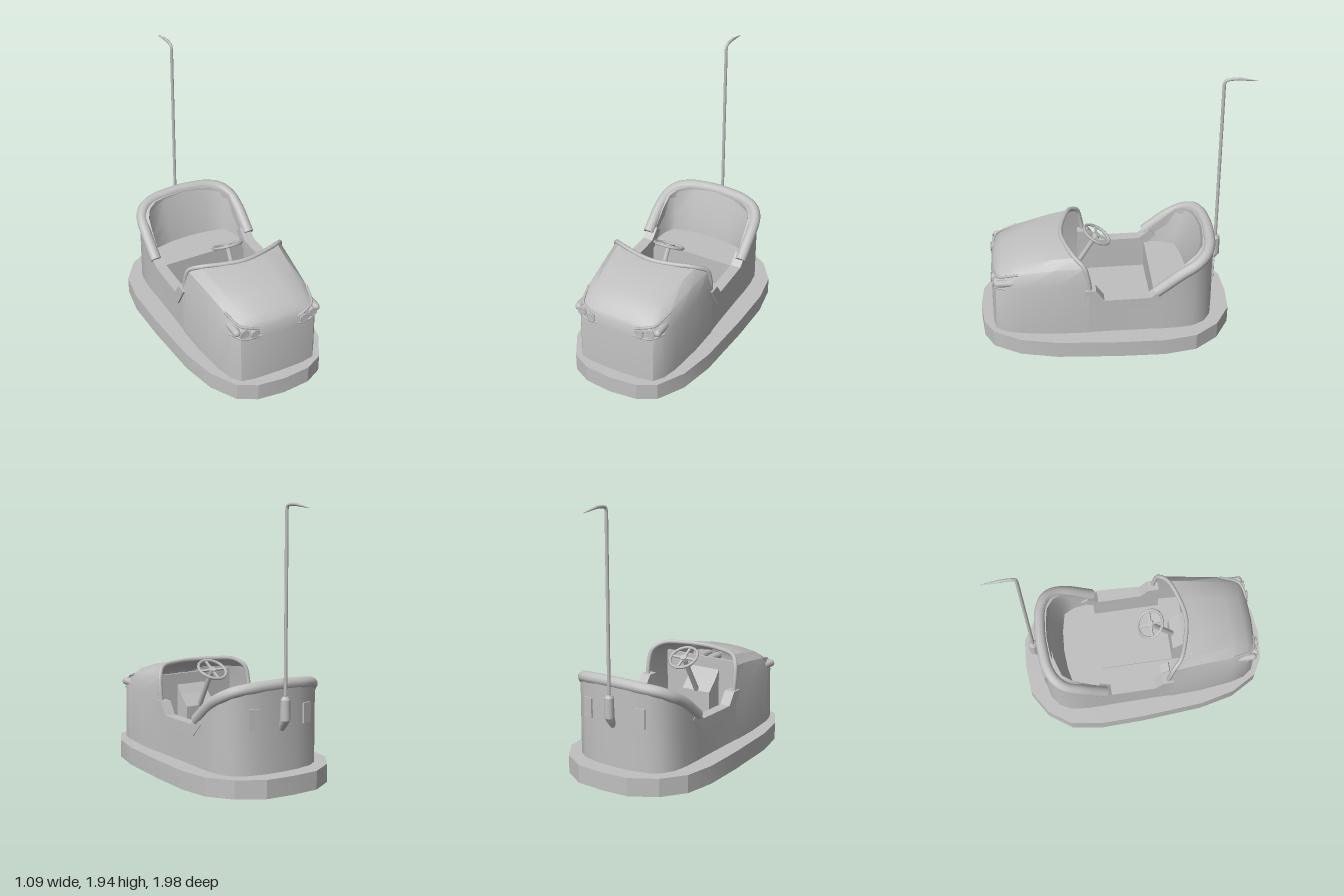
import * as THREE from 'three';
import { toCreasedNormals } from 'three/addons/utils/BufferGeometryUtils.js';

const V = (p) => new THREE.Vector3(...p);
const flip = ([x, y, z]) => [-x, y, z];
// Half path that ends on the centre line, completed by its mirror image
const mirrored = (half) => [...half, ...half.slice(0, -1).reverse().map(flip)];

// Surface through rows of points, each row having the same count
function loft(rows, crease = 0.6) {
  const n = rows[0].length, index = [];
  for (let i = 0; i < rows.length - 1; i++) {
    for (let j = 0; j < n - 1; j++) {
      const a = i * n + j, b = a + n;
      index.push(a, b, a + 1, a + 1, b, b + 1);
    }
  }
  const g = new THREE.BufferGeometry();
  g.setAttribute('position', new THREE.Float32BufferAttribute(rows.flat(2), 3));
  g.setIndex(index);
  return toCreasedNormals(g, crease);
}

// Plan outline given as [x, z], raised from y0 to y1
function slab(points, y0, y1) {
  const shape = new THREE.Shape(points.map(([x, z]) => new THREE.Vector2(x, -z)));
  const g = new THREE.ExtrudeGeometry(shape, { depth: y1 - y0, bevelEnabled: false });
  g.rotateX(-Math.PI / 2).translate(0, y0, 0);
  return toCreasedNormals(g, 0.3);
}

// Side profile given as [z, y], extruded from x0 to x1
function sideSlab(points, x0, x1) {
  const shape = new THREE.Shape(points.map(([z, y]) => new THREE.Vector2(-z, y)));
  const g = new THREE.ExtrudeGeometry(shape, { depth: x1 - x0, bevelEnabled: false });
  return g.rotateY(Math.PI / 2).translate(x0, 0, 0);
}

const tube = (points, r, segments = 40, sides = 10) => new THREE.TubeGeometry(
  new THREE.CatmullRomCurve3(points.map(V), false, 'centripetal'), segments, r, sides);

export function createModel() {
  const root = new THREE.Group();
  const grey = new THREE.MeshStandardMaterial({ color: 0xc0c0c0, side: THREE.DoubleSide });
  grey.name = 'grey';
  const add = (name, geometry, position = [0, 0, 0], parent = root) => {
    const mesh = new THREE.Mesh(geometry, grey);
    mesh.name = name;
    mesh.position.set(...position);
    parent.add(mesh);
    return mesh;
  };

  // Bumper skirt
  const skirt = [[0, 0.99], [0.2, 0.97], [0.33, 0.9], [0.44, 0.71], [0.5, 0.45], [0.535, 0],
    [0.545, -0.33], [0.51, -0.56], [0.39, -0.73], [0.21, -0.84], [0, -0.855]];
  add('bumperSkirt', slab([...skirt, ...skirt.slice(1, -1).reverse().map(([x, z]) => [-x, z])], 0, 0.13));

  // Front body and hood: half sections from the side up to the centre line
  const hood = [
    [[0.405, 0.13, 0.22], [0.4, 0.53, 0.2], [0.375, 0.68, 0.24], [0.31, 0.735, 0.3], [0.15, 0.745, 0.36], [0, 0.745, 0.385]],
    [[0.395, 0.13, 0.45], [0.385, 0.535, 0.45], [0.35, 0.66, 0.45], [0.29, 0.715, 0.46], [0.15, 0.735, 0.47], [0, 0.735, 0.47]],
    [[0.365, 0.13, 0.7], [0.36, 0.525, 0.7], [0.325, 0.625, 0.69], [0.26, 0.665, 0.7], [0.13, 0.685, 0.7], [0, 0.69, 0.7]],
    [[0.335, 0.13, 0.81], [0.33, 0.51, 0.81], [0.295, 0.585, 0.81], [0.24, 0.61, 0.815], [0.12, 0.625, 0.82], [0, 0.63, 0.82]],
    [[0.285, 0.13, 0.88], [0.285, 0.5, 0.868], [0.265, 0.555, 0.862], [0.22, 0.575, 0.862], [0.11, 0.585, 0.866], [0, 0.585, 0.87]],
    [[0.19, 0.13, 0.9], [0.18, 0.49, 0.89], [0.17, 0.53, 0.885], [0.14, 0.55, 0.88], [0.08, 0.56, 0.88], [0, 0.565, 0.88]],
    [[0, 0.13, 0.905], [0, 0.48, 0.9], [0, 0.52, 0.893], [0, 0.54, 0.888], [0, 0.555, 0.884], [0, 0.565, 0.88]],
  ];
  add('frontBody', loft(hood.map(mirrored), 0.5));
  add('hoodHoop', tube(mirrored([[0.385, 0.5, 0.2], [0.385, 0.6, 0.215], [0.37, 0.69, 0.24],
    [0.31, 0.737, 0.3], [0.15, 0.748, 0.36], [0, 0.748, 0.385]]), 0.016, 48, 8));

  // Rear body wall: outer x, z, top height and inner x, z
  const wall = [[0.4, 0.24, 0.51, 0.34, 0.24], [0.4, 0.16, 0.51, 0.34, 0.16], [0.4, 0.1, 0.41, 0.34, 0.1],
    [0.405, -0.23, 0.41, 0.35, -0.23], [0.41, -0.31, 0.48, 0.35, -0.31], [0.408, -0.44, 0.6, 0.345, -0.43],
    [0.395, -0.55, 0.67, 0.335, -0.51], [0.35, -0.635, 0.7, 0.3, -0.57], [0.27, -0.69, 0.72, 0.23, -0.62],
    [0.14, -0.72, 0.725, 0.13, -0.64], [0, -0.728, 0.73, 0, -0.65]];
  const wallRows = wall.map(([x, z, h, ix, iz]) => [[x, 0.13, z], [x, h, z], [ix, h, iz], [ix, 0.13, iz]]);
  add('rearBody', loft([...wallRows, ...wallRows.slice(0, -1).reverse().map((r) => r.map(flip))], 0.5));

  // Padded roll around the rear rim, with flat ends
  const roll = [[0.392, 0.455, -0.275], [0.392, 0.515, -0.35], [0.39, 0.592, -0.45], [0.372, 0.655, -0.56],
    [0.32, 0.693, -0.63], [0.22, 0.712, -0.675], [0.1, 0.72, -0.69], [0, 0.722, -0.695]];
  add('rearRoll', tube(mirrored(roll), 0.041, 60, 12));
  for (const s of [1, -1]) {
    const end = add('rollEnd', new THREE.CircleGeometry(0.041, 12), [s * 0.392, 0.455, -0.275]);
    end.lookAt(s * 0.392, 0.395, -0.2);
  }

  // Seat and curved backrest
  const seatRim = [[0.35, 0.38, -0.27], [0.33, 0.38, -0.42], [0.29, 0.38, -0.5], [0.15, 0.38, -0.53], [0, 0.38, -0.54]];
  const backRim = [[0.36, 0.46, -0.29], [0.355, 0.61, -0.46], [0.31, 0.68, -0.57], [0.16, 0.72, -0.62], [0, 0.735, -0.635]];
  const backMid = seatRim.map(([x, y, z], i) => [x * 0.65 + backRim[i][0] * 0.35,
    y * 0.6 + backRim[i][1] * 0.4, z * 0.75 + backRim[i][2] * 0.25]);
  add('backrest', loft([seatRim, backMid, backRim].map(mirrored), 0.9));
  add('seat', slab(mirrored(seatRim).map(([x, , z]) => [x, z]), 0.13, 0.38));

  // Floor, tunnel, firewall and console
  add('floor', new THREE.BoxGeometry(0.68, 0.03, 0.7), [0, 0.145, 0.08]);
  add('floorTunnel', new THREE.BoxGeometry(0.24, 0.015, 0.56), [0, 0.165, 0.01]);
  add('firewall', new THREE.BoxGeometry(0.7, 0.52, 0.02), [0, 0.39, 0.42]);
  add('console', sideSlab([[0.28, 0.15], [0.42, 0.15], [0.42, 0.58], [0.36, 0.5], [0.28, 0.42]], -0.12, 0.12));

  // Steering wheel and column
  const steering = new THREE.Group();
  steering.name = 'steering';
  steering.position.set(0, 0.71, 0.12);
  steering.rotation.x = -0.54;
  root.add(steering);
  add('wheelRim', new THREE.TorusGeometry(0.106, 0.011, 6, 16).rotateX(Math.PI / 2), [0, 0, 0], steering);
  add('wheelHub', new THREE.CylinderGeometry(0.026, 0.03, 0.025, 10), [0, -0.005, 0], steering);
  add('wheelSpoke', new THREE.BoxGeometry(0.205, 0.01, 0.018), [0, -0.004, 0], steering);
  add('wheelSpoke', new THREE.BoxGeometry(0.018, 0.01, 0.205), [0, -0.004, 0], steering);
  add('steeringColumn', new THREE.CylinderGeometry(0.017, 0.02, 0.33, 8), [0, -0.17, 0], steering);

  // Antenna socket, pole and tapered contact tip
  add('poleSocket', new THREE.CylinderGeometry(0.033, 0.036, 0.14, 12), [0, 0.56, -0.758]);
  add('socketCap', new THREE.CylinderGeometry(0.02, 0.033, 0.02, 12), [0, 0.64, -0.758]);
  const ring = (y, z, r, tilt) => Array.from({ length: 13 }, (_, i) => {
    const a = i * Math.PI / 6;
    return [r * Math.cos(a), y - r * Math.sin(a) * tilt, z + r * Math.sin(a)];
  });
  add('socketFoot', loft([ring(0.5, -0.758, 0.036, 0), ring(0.45, -0.74, 0.032, 0.5), ring(0.4, -0.715, 0.014, 0.8)]));
  add('pole', new THREE.CylinderGeometry(0.012, 0.012, 1.25, 8), [0, 1.265, -0.758]);
  add('poleBend', tube([[0, 1.885, -0.758], [0, 1.912, -0.766], [0, 1.922, -0.79], [0, 1.926, -0.86]], 0.011, 12, 8));
  const tip = add('poleTip', new THREE.CylinderGeometry(0.002, 0.012, 0.135, 8), [0, 1.915, -0.923]);
  tip.quaternion.setFromUnitVectors(V([0, 1, 0]), V([0, -0.16, -1]).normalize());

  // Mirrored details
  for (const s of [1, -1]) {
    const sx = (points) => points.map(([x, y, z]) => [s * x, y, z]);
    // Sill trim around the entry cut-out
    const sill = [[0.24, 0.51], [0.14, 0.34], [-0.26, 0.34], [-0.36, 0.44], [-0.31, 0.49], [-0.23, 0.42], [0.1, 0.42], [0.16, 0.51]];
    add('sillTrim', sideSlab(sill, s > 0 ? 0.335 : -0.414, s > 0 ? 0.414 : -0.335));
    // Pedals
    add('pedal', new THREE.BoxGeometry(0.07, 0.015, 0.07), [s * 0.21, 0.24, 0.21]).rotation.x = -0.5;
    add('pedalArm', new THREE.BoxGeometry(0.02, 0.09, 0.02), [s * 0.21, 0.195, 0.225]);
    // Headlights with brow and lower lip
    for (const [x, y, z] of [[0.19, 0.525, 0.83], [0.268, 0.54, 0.815]]) {
      add('headlight', new THREE.CylinderGeometry(0.027, 0.03, 0.14, 14).rotateX(Math.PI / 2), [s * x, y, z]);
      add('headlightRim', new THREE.TorusGeometry(0.029, 0.006, 6, 14), [s * x, y, z + 0.066]);
    }
    add('headlightPod', new THREE.CapsuleGeometry(0.028, 0.1, 4, 10).rotateX(Math.PI / 2), [s * 0.31, 0.548, 0.8]);
    add('headlightBrow', tube(sx([[0.15, 0.545, 0.88], [0.22, 0.572, 0.872], [0.28, 0.585, 0.84], [0.322, 0.622, 0.7]]), 0.009, 16, 6));
    add('headlightLip', tube(sx([[0.14, 0.495, 0.89], [0.2, 0.488, 0.888], [0.285, 0.5, 0.868], [0.335, 0.512, 0.8]]), 0.008, 16, 6));
    // Rear plates
    add('rearPlate', new THREE.BoxGeometry(0.075, 0.14, 0.018), [s * 0.22, 0.51, -0.706]).rotation.y = s * -0.23;
  }
  return root;
}
